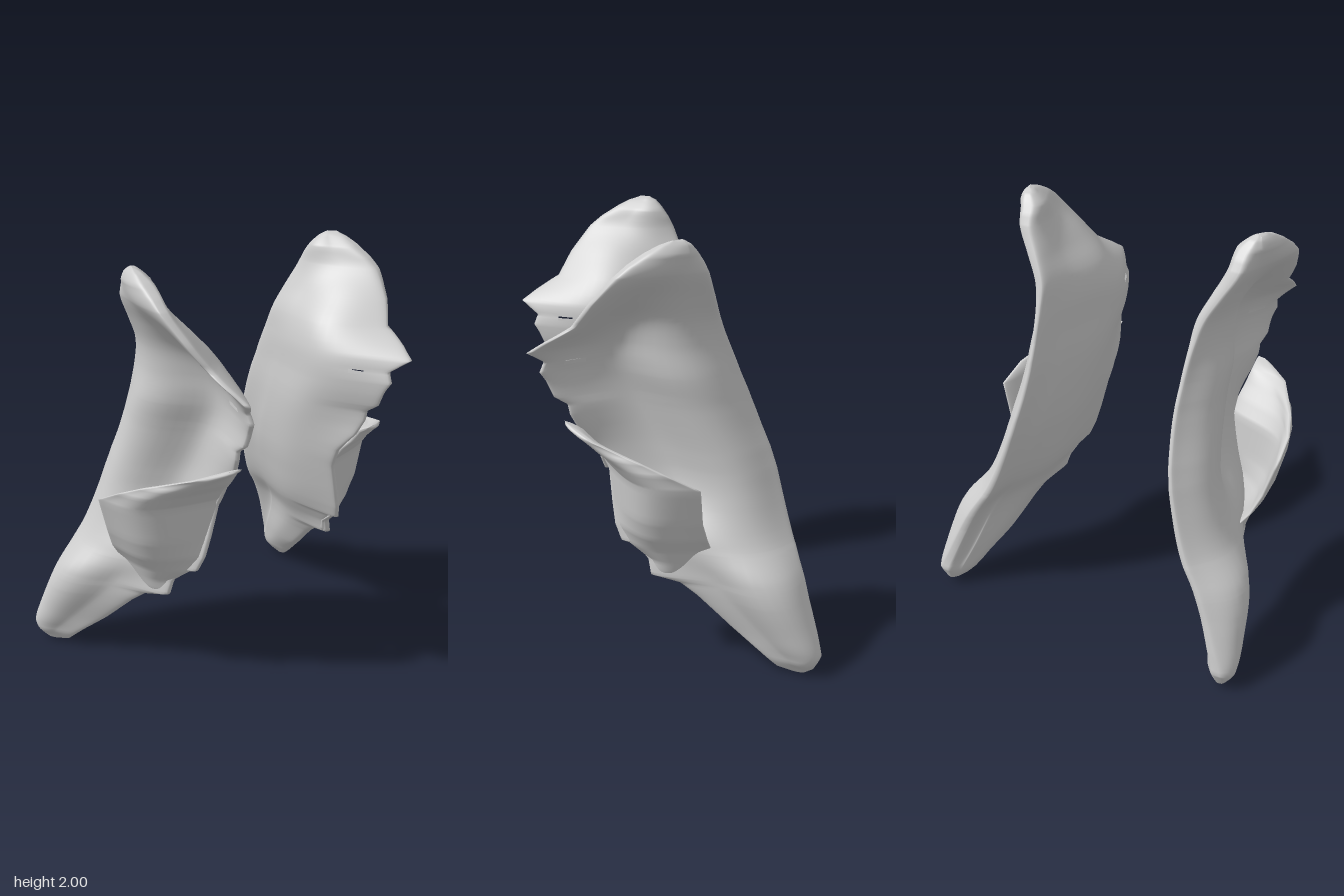
import * as THREE from 'three';

// Plate outline: height, back z, front z
const OUTLINE = [
  [0.005, -0.57, -0.52], [0.03, -0.615, -0.45], [0.1, -0.648, -0.37], [0.2, -0.63, -0.25],
  [0.34, -0.6, -0.1], [0.4, -0.59, -0.02], [0.43, -0.585, 0.11], [0.5, -0.57, 0.12],
  [0.56, -0.56, 0.17], [0.58, -0.555, 0.24], [0.65, -0.54, 0.265], [0.75, -0.52, 0.275],
  [0.9, -0.49, 0.285], [1.0, -0.46, 0.33], [1.1, -0.42, 0.42], [1.18, -0.39, 0.46],
  [1.23, -0.37, 0.47], [1.27, -0.355, 0.53], [1.35, -0.32, 0.565], [1.39, -0.305, 0.59],
  [1.44, -0.285, 0.57], [1.5, -0.26, 0.645], [1.55, -0.24, 0.57], [1.62, -0.215, 0.45],
  [1.73, -0.18, 0.38], [1.85, -0.14, 0.28], [1.9, -0.115, 0.22], [1.95, -0.08, 0.14],
  [1.98, -0.055, 0.08], [2.0, -0.02, 0.02],
];
// Evened-out front z, so the notches in the front edge do not crease the whole plate
const EVEN_FRONT = [
  [0.005, -0.53], [0.2, -0.25], [0.4, 0.02], [0.6, 0.22], [0.9, 0.31],
  [1.2, 0.48], [1.42, 0.57], [1.62, 0.47], [1.85, 0.28], [2.0, 0.0],
];
// Plate bend: height, then x and half thickness at back edge, back ridge, hollow and front edge
const BEND = [
  [0.005, 0.79, 0.03, 0.785, 0.04, 0.78, 0.04, 0.77, 0.03],
  [0.1, 0.79, 0.05, 0.785, 0.07, 0.745, 0.06, 0.72, 0.035],
  [0.2, 0.75, 0.05, 0.765, 0.085, 0.7, 0.065, 0.65, 0.035],
  [0.45, 0.64, 0.045, 0.695, 0.1, 0.59, 0.07, 0.535, 0.035],
  [0.6, 0.55, 0.04, 0.585, 0.095, 0.515, 0.09, 0.46, 0.03],
  [0.8, 0.475, 0.03, 0.505, 0.09, 0.405, 0.045, 0.4, 0.03],
  [1.0, 0.425, 0.025, 0.46, 0.09, 0.35, 0.035, 0.365, 0.03],
  [1.2, 0.4, 0.025, 0.435, 0.09, 0.32, 0.035, 0.41, 0.03],
  [1.35, 0.4, 0.025, 0.43, 0.09, 0.315, 0.035, 0.42, 0.03],
  [1.5, 0.41, 0.03, 0.42, 0.08, 0.335, 0.04, 0.465, 0.03],
  [1.62, 0.43, 0.045, 0.44, 0.07, 0.395, 0.045, 0.56, 0.035],
  [1.73, 0.485, 0.055, 0.495, 0.06, 0.5, 0.055, 0.62, 0.04],
  [1.85, 0.55, 0.06, 0.555, 0.065, 0.6, 0.06, 0.65, 0.045],
  [1.94, 0.565, 0.055, 0.575, 0.065, 0.605, 0.06, 0.625, 0.05],
  [2.0, 0.6, 0.05, 0.6, 0.06, 0.605, 0.06, 0.61, 0.05],
];
// Wing: height, then x, z of the outer edge, middle and root
const WING = [
  [0.42, 0.56, -0.05, 0.55, 0.02, 0.53, 0.09], [0.5, 0.59, -0.12, 0.57, 0.03, 0.5, 0.11],
  [0.57, 0.62, -0.16, 0.59, 0.06, 0.47, 0.2], [0.65, 0.68, -0.13, 0.63, 0.1, 0.43, 0.245],
  [0.75, 0.725, -0.1, 0.66, 0.13, 0.4, 0.255], [0.93, 0.782, -0.08, 0.7, 0.14, 0.37, 0.28],
  [1.0, 0.768, 0.06, 0.68, 0.21, 0.38, 0.33], [1.05, 0.72, 0.18, 0.63, 0.29, 0.39, 0.38],
  [1.11, 0.6, 0.37, 0.51, 0.41, 0.4, 0.42], [1.15, 0.44, 0.475, 0.42, 0.48, 0.4, 0.485],
];

// Reads a table at any height, smoothly or straight between its rows
function reader(table, Type) {
  const size = table[0].length - 1;
  const it = new Type(table.map((r) => r[0]), table.flatMap((r) => r.slice(1)), size, new Float32Array(size));
  return (y) => Array.from(it.evaluate(y));
}
const outline = reader(OUTLINE, THREE.LinearInterpolant);
const evenFront = reader(EVEN_FRONT, THREE.CubicInterpolant);
const bend = reader(BEND, THREE.CubicInterpolant);
const wing = reader(WING, THREE.LinearInterpolant);

// A section is a curve from back to front whose points hold x, half thickness, z
const section = (...points) => new THREE.CatmullRomCurve3(points.map((p) => new THREE.Vector3(...p)));

function plateSection(y) {
  const [zb, zf] = outline(y);
  const [zs] = evenFront(y);
  const [x0, t0, x1, t1, x2, t2, x3, t3] = bend(y);
  const at = (k) => THREE.MathUtils.lerp(zb, zs, k);
  // the front edge is lengthened or cut along the slope of the plate
  const slope = THREE.MathUtils.clamp((x3 - x2) / (zs - at(0.62)), -1, 1);
  return section([x0, t0, zb], [x1, t1, at(0.27)], [x2, t2, at(0.62)], [x3 + slope * (zf - zs), t3, zf]);
}
function wingSection(y) {
  const [xb, zb, xm, zm, xf, zf] = wing(y);
  return section([xb, 0.013, zb], [xm, 0.025, zm], [xf, 0.025, zf]);
}

// Lofts rounded, bent sections upward; side -1 mirrors the result
function loft(heights, sectionAt, side, endSoft, isHole) {
  const N = 64, pos = [], index = [];
  const y0 = heights[0], y1 = heights[heights.length - 1];
  for (const y of heights) {
    const curve = sectionAt(y);
    const soft = Math.sqrt(Math.min(1, Math.min(y - y0, y1 - y) / endSoft));
    for (let j = 0; j < N; j++) {
      const a = (j / N) * Math.PI * 2, u = (1 - Math.cos(a)) / 2;
      const p = curve.getPoint(u), d = curve.getTangent(u);
      const s = Math.sin(a);
      const h = (Math.sign(s) * Math.sqrt(Math.abs(s)) * p.y * soft) / (Math.hypot(d.x, d.z) || 1);
      pos.push(side * (p.x + h * d.z), y, p.z - h * d.x);
    }
  }
  for (let i = 0; i < heights.length - 1; i++) {
    for (let j = 0; j < N; j++) {
      const k = (j + 1) % N;
      const p = i * N + j, q = i * N + k, r = p + N, s = q + N;
      if (isHole && isHole((heights[i] + heights[i + 1]) / 2, (pos[p * 3 + 2] + pos[q * 3 + 2]) / 2)) continue;
      if (side > 0) index.push(p, r, q, q, r, s);
      else index.push(p, q, r, q, s, r);
    }
  }
  const g = new THREE.BufferGeometry();
  g.setAttribute('position', new THREE.Float32BufferAttribute(pos, 3));
  g.setIndex(index);
  g.computeVertexNormals();
  return g;
}

// Splits every interval of a table into n steps
function steps(table, n) {
  const ys = [];
  for (let i = 0; i < table.length - 1; i++)
    for (let k = 0; k < n; k++) ys.push(THREE.MathUtils.lerp(table[i][0], table[i + 1][0], k / n));
  ys.push(table[table.length - 1][0]);
  return ys;
}

export function createModel() {
  const model = new THREE.Group();
  const material = new THREE.MeshStandardMaterial({ color: 0xcccccc, side: THREE.DoubleSide });
  // small slot through the plate near its front point
  const slot = (y, z) => ((y - 1.43) / 0.014) ** 2 + ((z - 0.435) / 0.05) ** 2 < 1;

  for (const side of [1, -1]) {
    const half = new THREE.Group();
    half.name = side > 0 ? 'leftBone' : 'rightBone';
    const plate = new THREE.Mesh(loft(steps(OUTLINE, 5), plateSection, side, 0.06, slot), material);
    plate.name = 'curvedPlate';
    const flap = new THREE.Mesh(loft(steps(WING, 5), wingSection, side, 0.02), material);
    flap.name = 'sideWing';
    half.add(plate, flap);
    model.add(half);
  }
  return model;
}
